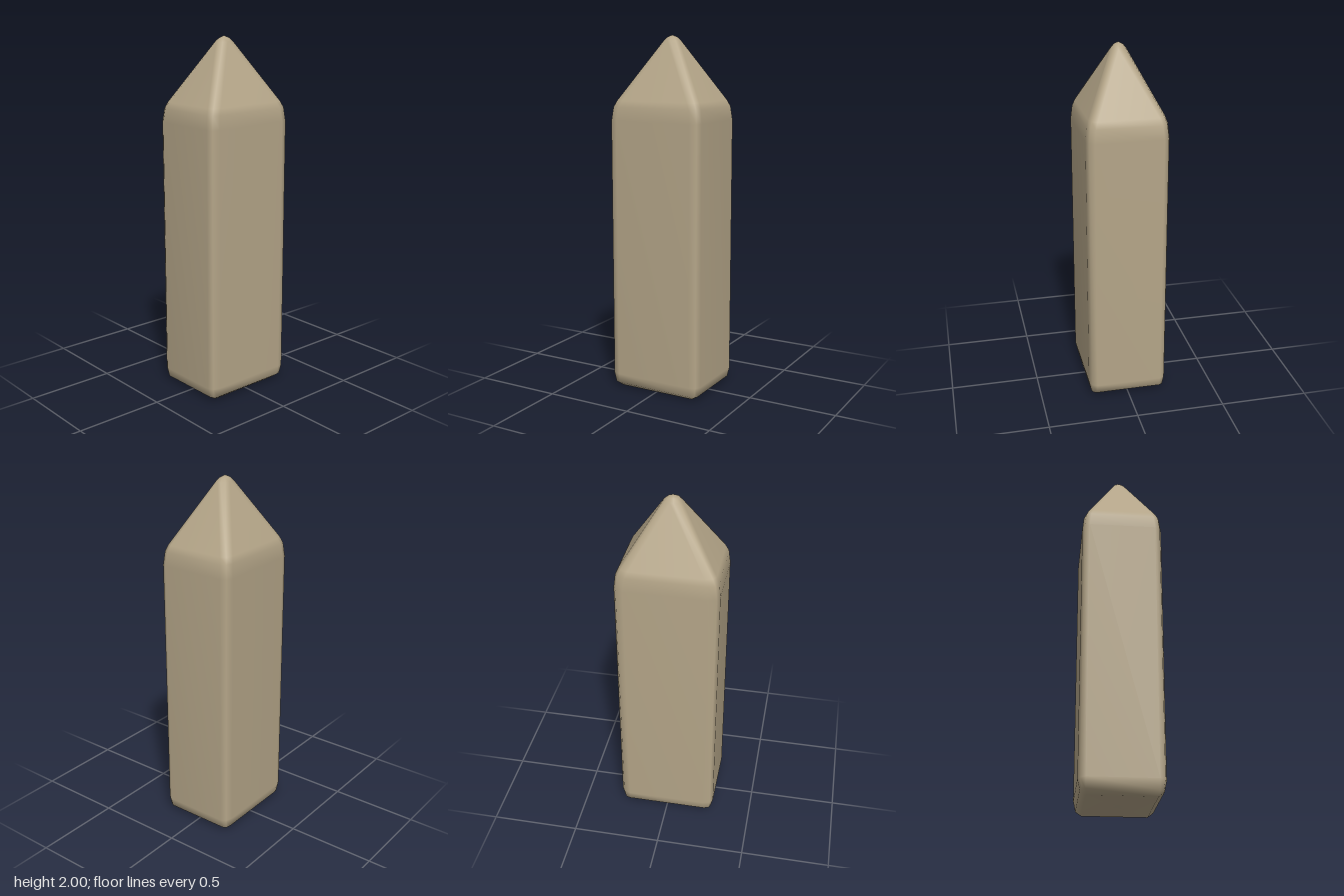
import * as THREE from 'three';

// Cross-sections from base to tip: [y, half width, half depth, corner rounding]
const SECTIONS = [
  [0, 0.228, 0.182, 0.12],
  [0.024, 0.266, 0.213, 0.65],
  [0.08, 0.281, 0.225, 1],
  [1.535, 0.281, 0.225, 1],
  [1.61, 0.272, 0.217, 1],
  [1.645, 0.256, 0.205, 1],
  [1.968, 0.05, 0.04, 0.75],
  [1.987, 0.03, 0.024, 0.45],
];

// Chamfered rectangle, three points to a corner
function sectionLoop([y, hx, hz, k]) {
  const corner = [
    [hx, hz - 0.04 * k],
    [hx - 0.016 * k, hz - 0.012 * k],
    [hx - 0.055 * k, hz],
  ];
  const loop = [];
  for (const [sx, sz] of [[1, 1], [-1, 1], [-1, -1], [1, -1]]) {
    const points = sx * sz > 0 ? corner : [...corner].reverse();
    for (const [x, z] of points) loop.push(sx * x, y, sz * z);
  }
  return loop;
}

// Skins the sections and closes both ends
function loftGeometry(sections, tipY) {
  const n = 12;
  const positions = sections.flatMap(sectionLoop);
  const base = sections.length * n;
  const tip = base + 1;
  positions.push(0, sections[0][0], 0, 0, tipY, 0);

  const index = [];
  const last = (sections.length - 1) * n;
  for (let j = 0; j < n; j++) {
    const next = (j + 1) % n;
    for (let row = 0; row < last; row += n) {
      const a = row + j, b = a + n, d = row + next, c = d + n;
      index.push(a, b, c, a, c, d);
    }
    index.push(base, j, next);
    index.push(last + j, tip, last + next);
  }

  const geometry = new THREE.BufferGeometry();
  geometry.setAttribute('position', new THREE.Float32BufferAttribute(positions, 3));
  geometry.setIndex(index);
  geometry.computeVertexNormals();
  return geometry;
}

export function createModel() {
  const model = new THREE.Group();
  model.name = 'pointedPost';

  const sandstone = new THREE.MeshStandardMaterial({ color: 0xb4a588 });
  sandstone.name = 'sandstone';

  // One smooth shaft running into a pyramid point
  const post = new THREE.Mesh(loftGeometry(SECTIONS, 2), sandstone);
  post.name = 'post';
  model.add(post);
  return model;
}
